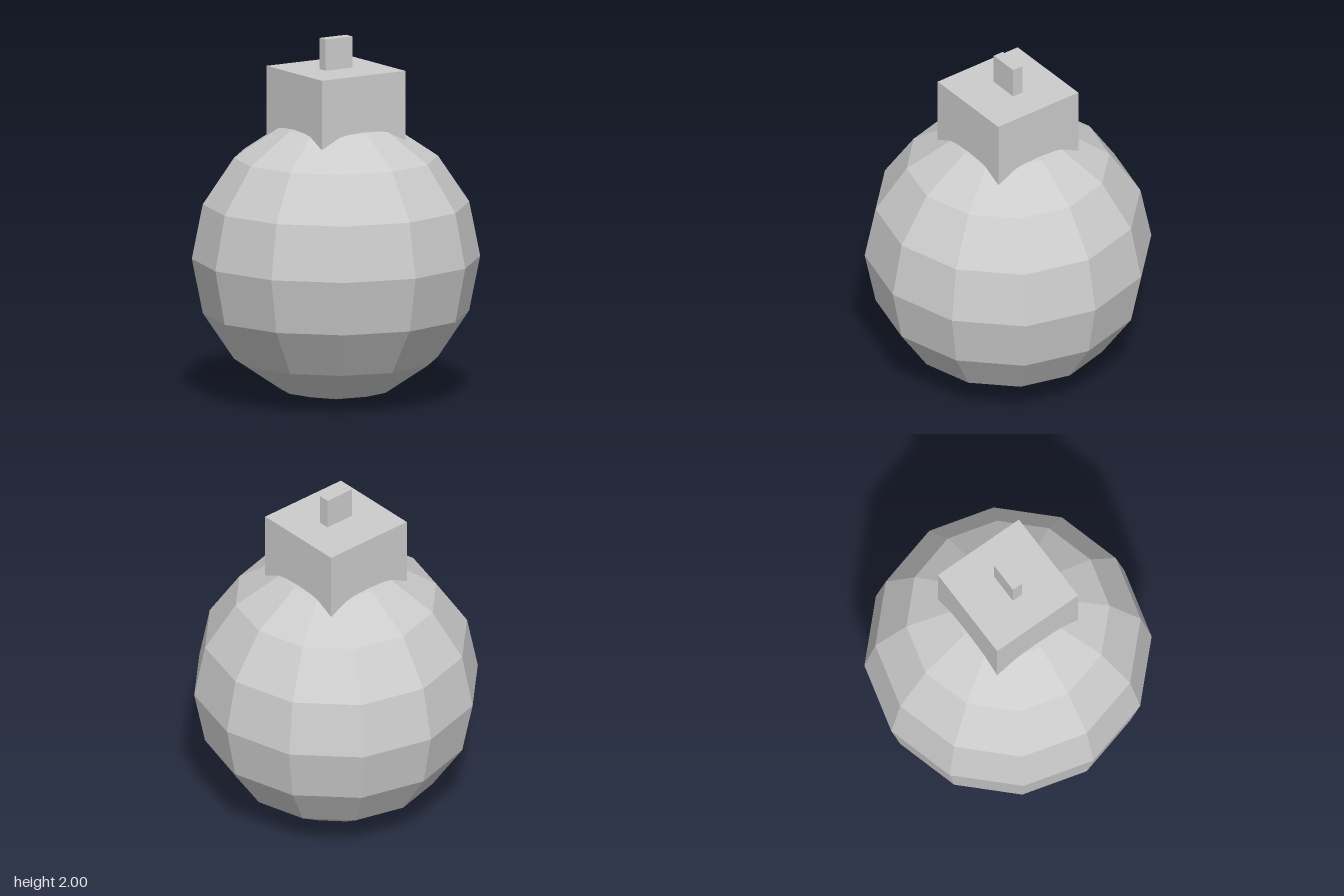
import * as THREE from 'three';

const grey = new THREE.MeshStandardMaterial({ color: 0xcccccc });
grey.name = 'light grey';

// Adds one named part, with a separate normal for every facet
function addPart(group, name, geometry, y) {
  const faceted = geometry.toNonIndexed();
  faceted.computeVertexNormals();
  const mesh = new THREE.Mesh(faceted, grey);
  mesh.name = name;
  mesh.position.y = y;
  group.add(mesh);
}

export function createModel() {
  const group = new THREE.Group();
  group.name = 'ornament';

  const radius = 0.785;
  const capSize = 0.545;
  const capTop = 1.828;
  const tabHeight = 2 - capTop;

  // Twelve-sided faceted ball
  addPart(group, 'ball', new THREE.SphereGeometry(radius, 12, 8), radius);
  // Square cap sunk into the top of the ball
  addPart(group, 'cap', new THREE.BoxGeometry(capSize, capSize, capSize), capTop - capSize / 2);
  // Thin hanging tab
  addPart(group, 'hangingTab', new THREE.BoxGeometry(0.175, tabHeight, 0.062), capTop + tabHeight / 2);

  return group;
}
